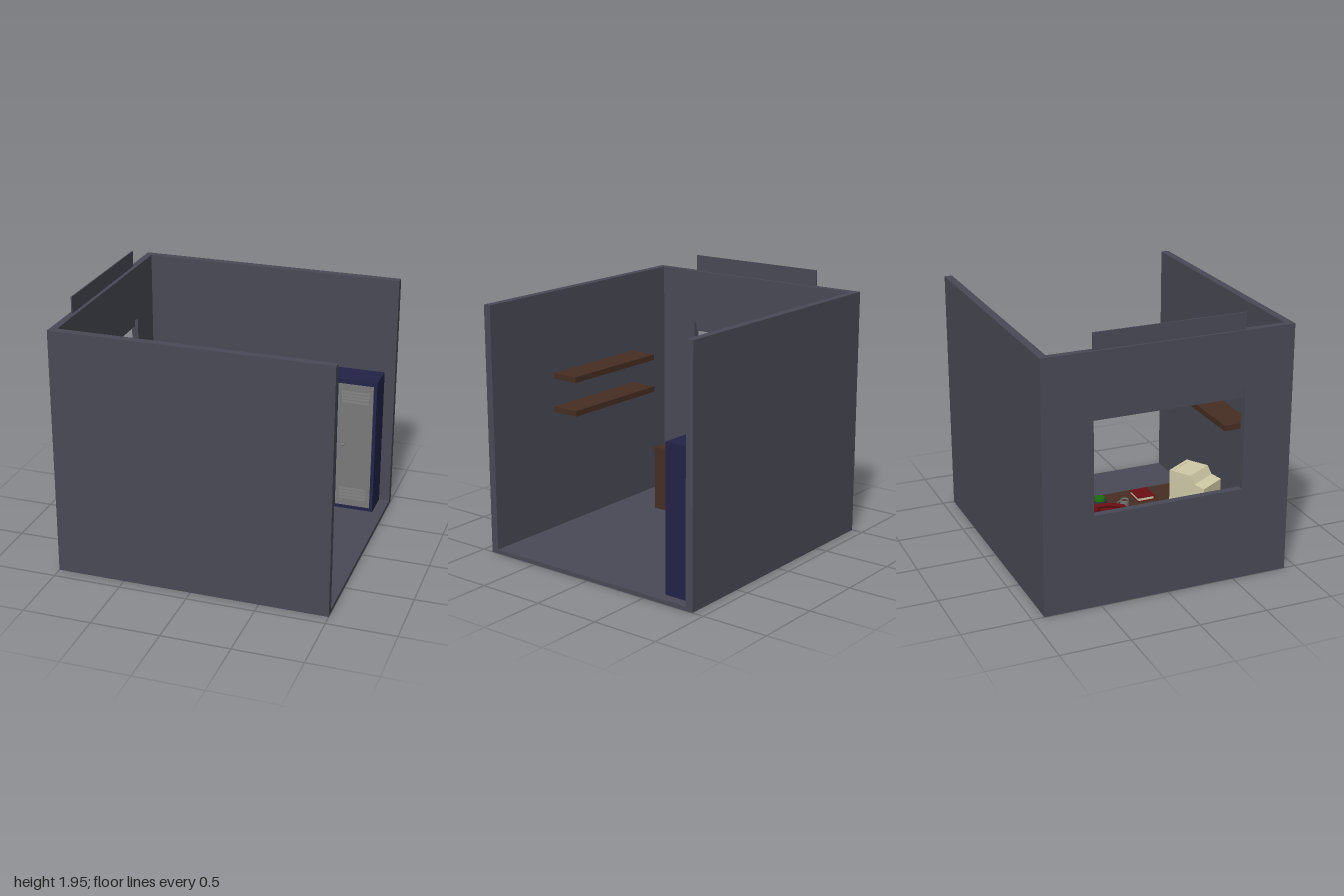
import * as THREE from 'three';

export function createModel() {
  const root = new THREE.Group();
  root.name = 'office';

  const paint = (name, color, double) => {
    const m = new THREE.MeshStandardMaterial({ color });
    m.name = name;
    if (double) m.side = THREE.DoubleSide;
    return m;
  };
  const wall = paint('slateWall', 0x4a4a57);
  const wood = paint('darkWood', 0x462e22);
  const navy = paint('navyMetal', 0x232348);
  const grey = paint('greyMetal', 0x7a7a7a, true);
  const cream = paint('cream', 0xd0caa6);
  const green = paint('green', 0x1a6c12);
  const red = paint('red', 0x6a0e12);
  const dark = paint('darkSteel', 0x30323a);

  const add = (parent, name, geo, mat, x = 0, y = 0, z = 0) => {
    const m = new THREE.Mesh(geo, mat);
    m.name = name;
    m.position.set(x, y, z);
    parent.add(m);
    return m;
  };
  // Box given by its limits on each axis
  const box = (parent, name, mat, x0, x1, y0, y1, z0, z1) =>
    add(parent, name, new THREE.BoxGeometry(x1 - x0, y1 - y0, z1 - z0), mat,
      (x0 + x1) / 2, (y0 + y1) / 2, (z0 + z1) / 2);
  const group = (name, x = 0, y = 0, z = 0, turn = 0) => {
    const g = new THREE.Group();
    g.name = name;
    g.position.set(x, y, z);
    g.rotation.y = turn;
    root.add(g);
    return g;
  };
  // Side profile of [forward, up] points, extruded across the width
  const profile = (pts, width) => {
    const shape = new THREE.Shape(pts.map(p => new THREE.Vector2(p[0], p[1])));
    const geo = new THREE.ExtrudeGeometry(shape, { depth: width, bevelEnabled: false });
    geo.translate(0, 0, -width / 2);
    return geo.rotateY(-Math.PI / 2);
  };
  const rectHole = (x0, x1, y0, y1) => new THREE.Path([
    new THREE.Vector2(x0, y0), new THREE.Vector2(x0, y1),
    new THREE.Vector2(x1, y1), new THREE.Vector2(x1, y0)]);
  const rectShape = (x0, x1, y0, y1) => new THREE.Shape([
    new THREE.Vector2(x0, y0), new THREE.Vector2(x1, y0),
    new THREE.Vector2(x1, y1), new THREE.Vector2(x0, y1)]);

  // Room shell, open at the top and on one side
  const room = group('room');
  box(room, 'floor', wall, -0.95, 1, 0, 0.03, -0.855, 0.855);
  box(room, 'frontWall', wall, -1, 1, 0, 1.83, 0.855, 0.912);
  box(room, 'backWall', wall, -1, 1, 0, 1.83, -0.912, -0.855);
  const windowShape = rectShape(-0.855, 0.855, 0, 1.83);
  windowShape.holes.push(rectHole(-0.55, 0.55, 0.68, 1.42));
  const windowGeo = new THREE.ExtrudeGeometry(windowShape, { depth: 0.05, bevelEnabled: false });
  add(room, 'windowWall', windowGeo.rotateY(Math.PI / 2), wall, -1);

  // Raised shutter with its handle
  const shutter = group('shutter');
  box(shutter, 'shutterPanel', wall, -0.985, -0.976, 1.35, 1.95, -0.55, 0.55);
  box(shutter, 'shutterHandleBar', cream, -0.935, -0.917, 1.362, 1.38, -0.065, 0.065);
  for (const s of [-1, 1])
    box(shutter, 'shutterHandlePost', cream, -0.977, -0.93, 1.362, 1.38, s * 0.056 - 0.009, s * 0.056 + 0.009);

  // Wall shelves
  for (const y of [0.925, 1.18])
    box(root, 'shelf', wood, -0.55, 0.365, y, y + 0.043, 0.64, 0.856);

  // Four lockers in a row
  const lockers = group('lockers');
  box(lockers, 'lockerBody', navy, -0.36, 0.92, 0.03, 1.1, -0.855, -0.627);
  for (let i = 0; i < 4; i++) {
    const x = -0.2 + i * 0.32;
    box(lockers, 'lockerDoor', grey, x - 0.135, x + 0.135, 0.06, 1.065, -0.629, -0.622);
    for (const base of [0.125, 0.925])
      for (let k = 0; k < 4; k++) {
        const y = base + k * 0.026;
        const slat = box(lockers, 'ventSlat', grey, x - 0.105, x + 0.105, y - 0.009, y + 0.009, -0.623, -0.619);
        slat.rotation.x = -0.25;
      }
    add(lockers, 'lockerKnob', new THREE.SphereGeometry(0.012, 12, 8), grey, x - 0.085, 0.57, -0.613);
  }

  // Desk with two drawer pedestals
  const desk = group('desk');
  box(desk, 'deskTop', wood, -0.95, -0.41, 0.48, 0.53, -0.53, 0.53);
  for (const s of [-1, 1]) {
    box(desk, 'pedestal', wood, -0.95, -0.415, 0.03, 0.48, s * 0.39 - 0.138, s * 0.39 + 0.138);
    for (const y of [0.1, 0.245, 0.395]) {
      const stem = add(desk, 'drawerKnobStem', new THREE.CylinderGeometry(0.005, 0.005, 0.016, 8), cream, -0.409, y, s * 0.39);
      stem.rotation.z = Math.PI / 2;
      add(desk, 'drawerKnob', new THREE.SphereGeometry(0.01, 10, 8), cream, -0.4, y, s * 0.39);
    }
  }

  // Computer with a stepped back and a bulging screen
  const computer = group('computer', -0.748, 0.53, 0.316, 2.13);
  add(computer, 'computerCase', profile([[-0.14, 0], [0.115, 0], [0.115, 0.236], [-0.03, 0.236],
    [-0.065, 0.178], [-0.14, 0.16]], 0.225), cream);
  const frame = rectShape(-0.1125, 0.1125, 0, 0.238);
  frame.holes.push(rectHole(-0.09, 0.09, 0.036, 0.218));
  add(computer, 'screenFrame', new THREE.ExtrudeGeometry(frame, { depth: 0.025, bevelEnabled: false }), cream, 0, 0, 0.115);
  const screen = new THREE.PlaneGeometry(0.18, 0.182, 10, 10);
  const sp = screen.attributes.position;
  for (let i = 0; i < sp.count; i++) {
    const u = sp.getX(i) / 0.09, v = sp.getY(i) / 0.091;
    sp.setZ(i, 0.018 * (1 - u * u * 0.6) * (1 - v * v * 0.6));
  }
  screen.computeVertexNormals();
  add(computer, 'screen', screen, green, 0, 0.127, 0.117);
  box(computer, 'diskSlot', dark, 0.035, 0.085, 0.014, 0.02, 0.139, 0.142);

  // Book
  const book = group('book');
  box(book, 'bookPages', cream, -0.615, -0.475, 0.535, 0.555, -0.055, 0.06);
  for (const y of [0.53, 0.555])
    box(book, 'bookCover', red, -0.62, -0.47, y, y + 0.005, -0.06, 0.065);
  box(book, 'bookSpine', red, -0.62, -0.47, 0.53, 0.56, 0.06, 0.068);

  // Mug of coffee
  const mug = group('mug', -0.682, 0.53, -0.192, 0.95);
  add(mug, 'mugCup', new THREE.LatheGeometry([[0, 0], [0.031, 0], [0.031, 0.072], [0.027, 0.072], [0.027, 0.01]]
    .map(p => new THREE.Vector2(p[0], p[1])), 20), grey);
  add(mug, 'coffee', new THREE.CylinderGeometry(0.027, 0.027, 0.004, 20), wood, 0, 0.058, 0);
  add(mug, 'mugHandle', new THREE.TorusGeometry(0.018, 0.004, 8, 14, Math.PI), grey, 0.03, 0.037, 0).rotation.z = -Math.PI / 2;

  // Two push buttons
  for (const [z, mat] of [[-0.43, red], [-0.308, green]]) {
    const button = group('pushButton', -0.515, 0.53, z);
    add(button, 'buttonBase', new THREE.CylinderGeometry(0.046, 0.051, 0.018, 24), dark, 0, 0.009, 0);
    add(button, 'buttonCap', new THREE.CylinderGeometry(0.036, 0.041, 0.022, 24), mat, 0, 0.028, 0);
  }

  // Telephone: tapered body, dial and handset
  const phone = group('telephone', -0.806, 0.53, -0.36, 1.2);
  const body = profile([[-0.075, 0], [0.085, 0], [0.085, 0.02], [0.015, 0.088], [-0.055, 0.088], [-0.075, 0.03]], 0.2);
  const bp = body.attributes.position;
  for (let i = 0; i < bp.count; i++) bp.setX(i, bp.getX(i) * (1 - bp.getY(i) * 4.6));
  body.computeVertexNormals();
  add(phone, 'phoneBody', body, red);
  const dial = new THREE.Group();
  dial.name = 'dial';
  dial.position.set(0, 0.056, 0.053);
  dial.rotation.x = 0.77;
  phone.add(dial);
  add(dial, 'dialPlate', new THREE.CylinderGeometry(0.038, 0.041, 0.012, 24), grey);
  add(dial, 'dialCentre', new THREE.CylinderGeometry(0.013, 0.013, 0.004, 16), cream, 0, 0.007, 0);
  for (let i = 0; i < 10; i++) {
    const a = 0.6 + i * 0.56;
    add(dial, 'fingerHole', new THREE.CylinderGeometry(0.006, 0.006, 0.002, 10), dark,
      Math.sin(a) * 0.027, 0.0065, Math.cos(a) * 0.027);
  }
  const grip = new THREE.QuadraticBezierCurve3(new THREE.Vector3(-0.1, 0.108, -0.025),
    new THREE.Vector3(0, 0.138, -0.025), new THREE.Vector3(0.1, 0.108, -0.025));
  add(phone, 'handsetGrip', new THREE.TubeGeometry(grip, 16, 0.015, 10), red);
  for (const s of [-1, 1]) {
    box(phone, 'cradle', red, s * 0.045 - 0.01, s * 0.045 + 0.01, 0.08, 0.105, -0.05, 0);
    const cup = add(phone, 'handsetCup', new THREE.CylinderGeometry(0.02, 0.031, 0.044, 16), red, s * 0.092, 0.097, -0.025);
    cup.rotation.z = s * 0.25;
  }

  return root;
}
